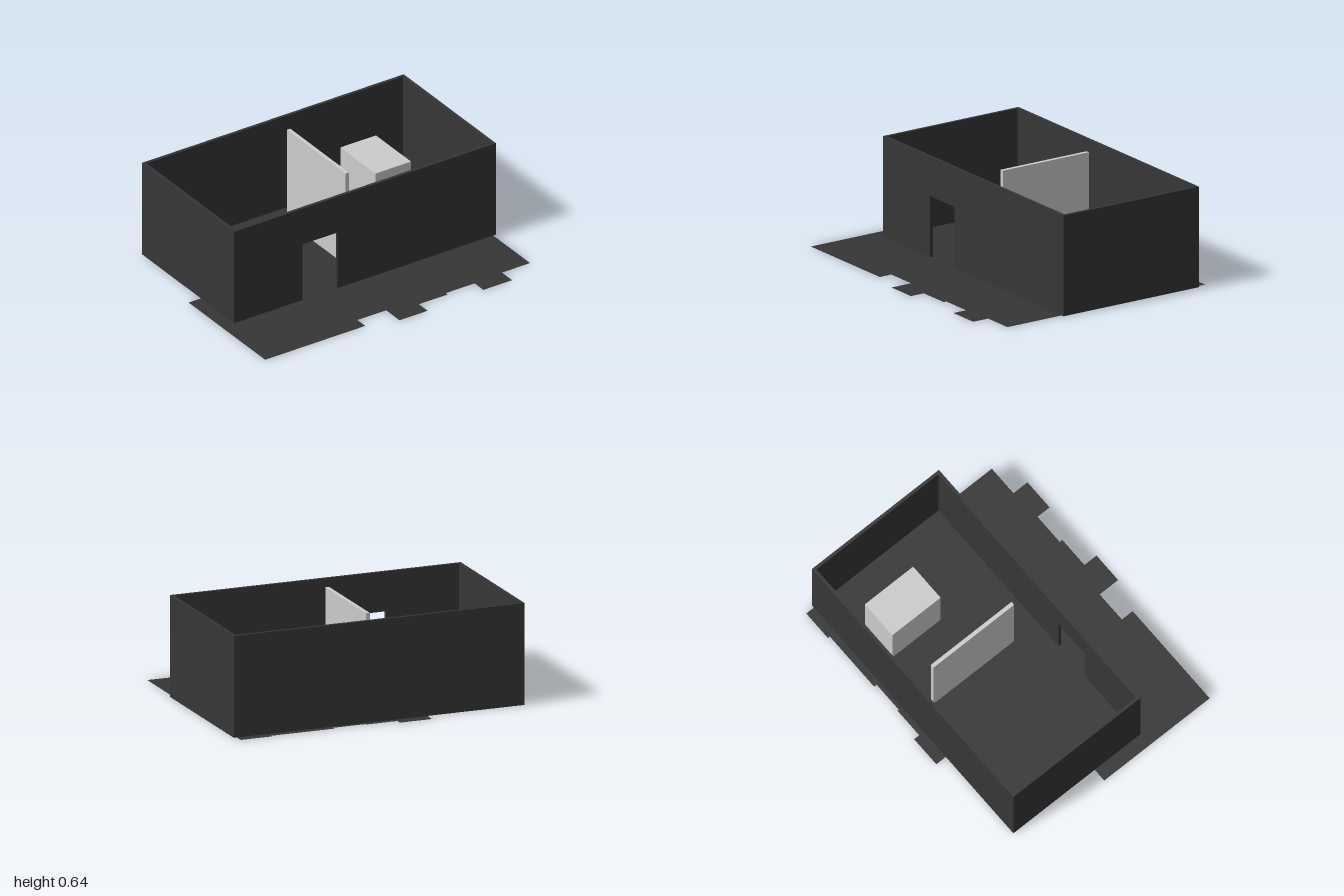
import * as THREE from 'three';

export function createModel() {
  const model = new THREE.Group();
  const dark = new THREE.MeshStandardMaterial({ color: 0x363636 });
  dark.name = 'charcoal';
  const darkSheet = dark.clone(); // same colour, seen from both sides
  darkSheet.side = THREE.DoubleSide;
  const light = new THREE.MeshStandardMaterial({ color: 0xcccccc });
  light.name = 'pale grey';

  function add(name, geometry, material) {
    const mesh = new THREE.Mesh(geometry, material);
    mesh.name = name;
    model.add(mesh);
  }

  // Box standing on the ground, given by its footprint
  function block(name, [x0, x1, z0, z1], height, material) {
    const g = new THREE.BoxGeometry(x1 - x0, height, z1 - z0);
    g.translate((x0 + x1) / 2, height / 2, (z0 + z1) / 2);
    add(name, g, material);
  }

  const H = 0.64, T = 0.02;
  const X0 = -0.91, X1 = 1, Z0 = -0.73, Z1 = 0.27;

  // Outer walls
  block('backWall', [X0, X1, Z0, Z0 + T], H, dark);
  block('rightWall', [X0, X0 + T, Z0 + T, Z1 - T], H, dark);
  block('leftWall', [X1 - T, X1, Z0 + T, Z1 - T], H, dark);

  // Front wall with an open doorway
  const front = new THREE.Shape([
    [X0, 0], [-0.41, 0], [-0.41, 0.39], [-0.155, 0.39], [-0.155, 0], [X1, 0], [X1, H], [X0, H],
  ].map(([x, y]) => new THREE.Vector2(x, y)));
  const frontGeometry = new THREE.ExtrudeGeometry(front, { depth: T, bevelEnabled: false });
  frontGeometry.translate(0, 0, Z1 - T);
  add('frontWall', frontGeometry, dark);

  // Interior partition and counter
  const partition = [0.04, 0.065, -0.57, 0.065];
  const counter = [0.43, 0.69, -0.57, -0.19];
  block('partition', partition, H, light);
  block('counter', counter, 0.39, light);

  // Flat floor of uneven boards: [x start, x end, back z, front z]
  const boards = [
    [-1, -0.91, -0.09, 0.74],
    [-0.91, -0.27, -0.72, 0.74],
    [-0.27, -0.06, -0.805, 0.655],
    [-0.06, 0.145, -0.765, 0.8],
    [0.145, 0.355, -0.755, 0.705],
    [0.355, 0.565, -0.775, 0.685],
    [0.565, 0.775, -0.775, 0.78],
    [0.775, 0.98, -0.79, 0.67],
  ];
  const outline = [];
  boards.forEach(([a, b, back]) => outline.push([a, back], [b, back]));
  [...boards].reverse().forEach(([a, b, , z]) => outline.push([b, z], [a, z]));
  const floor = new THREE.Shape(outline.map(([x, z]) => new THREE.Vector2(x, z)));

  // The partition and counter pass through the floor
  for (const [x0, x1, z0, z1] of [partition, counter]) {
    floor.holes.push(new THREE.Path([
      new THREE.Vector2(x0, z0), new THREE.Vector2(x0, z1),
      new THREE.Vector2(x1, z1), new THREE.Vector2(x1, z0),
    ]));
  }
  const floorGeometry = new THREE.ShapeGeometry(floor);
  floorGeometry.rotateX(Math.PI / 2);
  add('floor', floorGeometry, darkSheet);

  return model;
}
